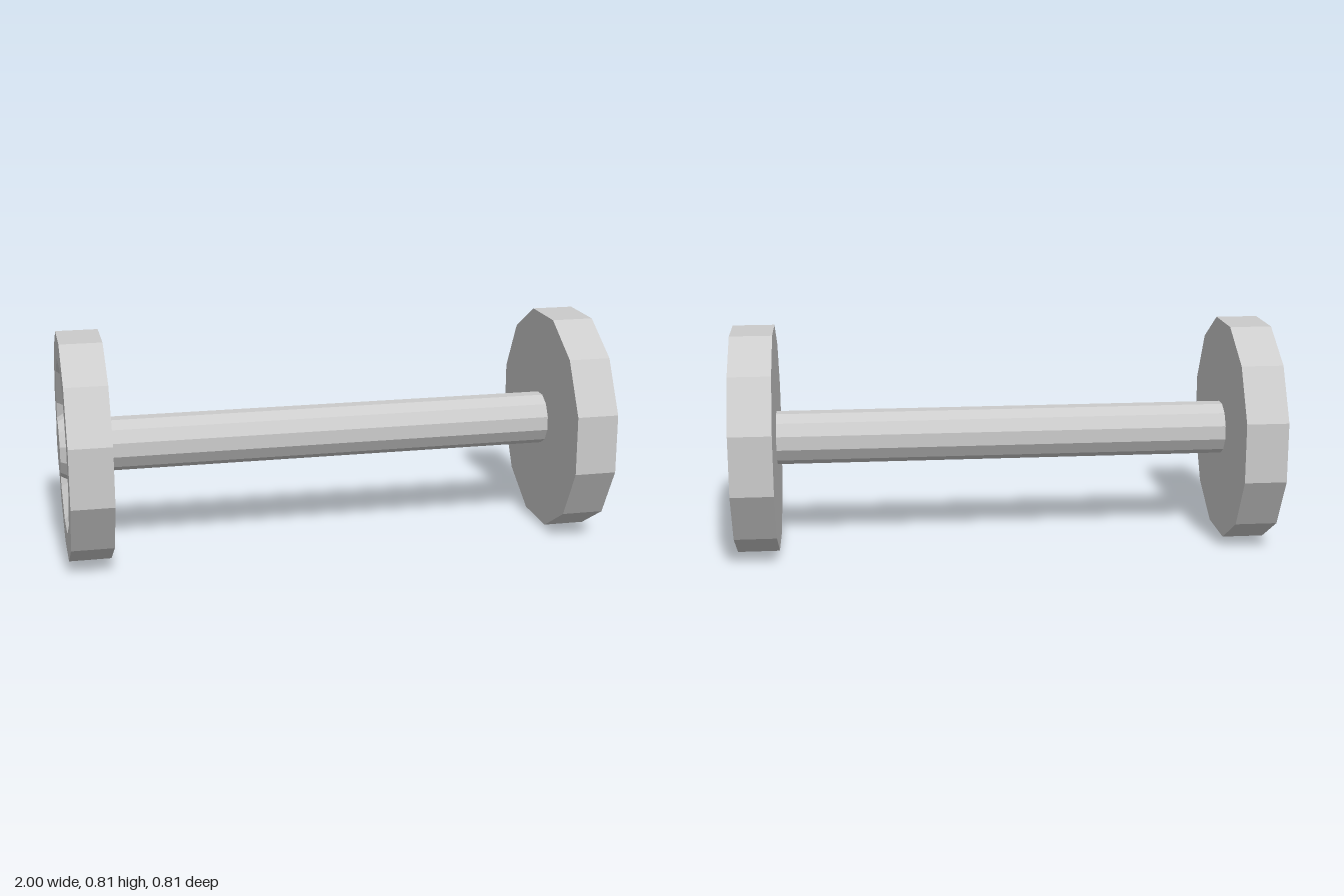
import * as THREE from 'three';

const SIDES = 12;
const CENTRE_Y = 0.404;
const material = new THREE.MeshStandardMaterial({ color: 0xcccccc, flatShading: true });

// Twelve-sided solid turned about the x axis; profile is [apothem, x] pairs.
function turned(name, profile) {
  const toCorner = 1 / Math.cos(Math.PI / SIDES);
  const points = profile.map(([r, x]) => new THREE.Vector2(r * toCorner, x));
  const geometry = new THREE.LatheGeometry(points, SIDES, Math.PI / SIDES);
  geometry.rotateZ(-Math.PI / 2);
  const mesh = new THREE.Mesh(geometry, material);
  mesh.name = name;
  return mesh;
}

// One end: weight plate with a bevelled recess, and a tapered hub in it
function createWeight(name) {
  const weight = new THREE.Group();
  weight.name = name;
  weight.add(
    turned('plate', [
      [0, 0.834], [0.404, 0.834], [0.404, 0.987],
      [0.308, 0.987], [0.277, 0.953], [0.128, 0.953],
    ]),
    turned('hub', [[0.128, 0.953], [0.102, 1], [0, 1]])
  );
  return weight;
}

export function createModel() {
  const model = new THREE.Group();
  model.name = 'dumbbell';

  // Grip bar, ending inside the plates
  const bar = turned('handleBar', [[0, -0.84], [0.095, -0.84], [0.095, 0.84], [0, 0.84]]);

  // Matching weights at both ends
  const left = createWeight('leftWeight');
  const right = createWeight('rightWeight');
  right.rotation.y = Math.PI;

  model.add(bar, left, right);
  for (const part of model.children) part.position.y = CENTRE_Y;
  return model;
}
